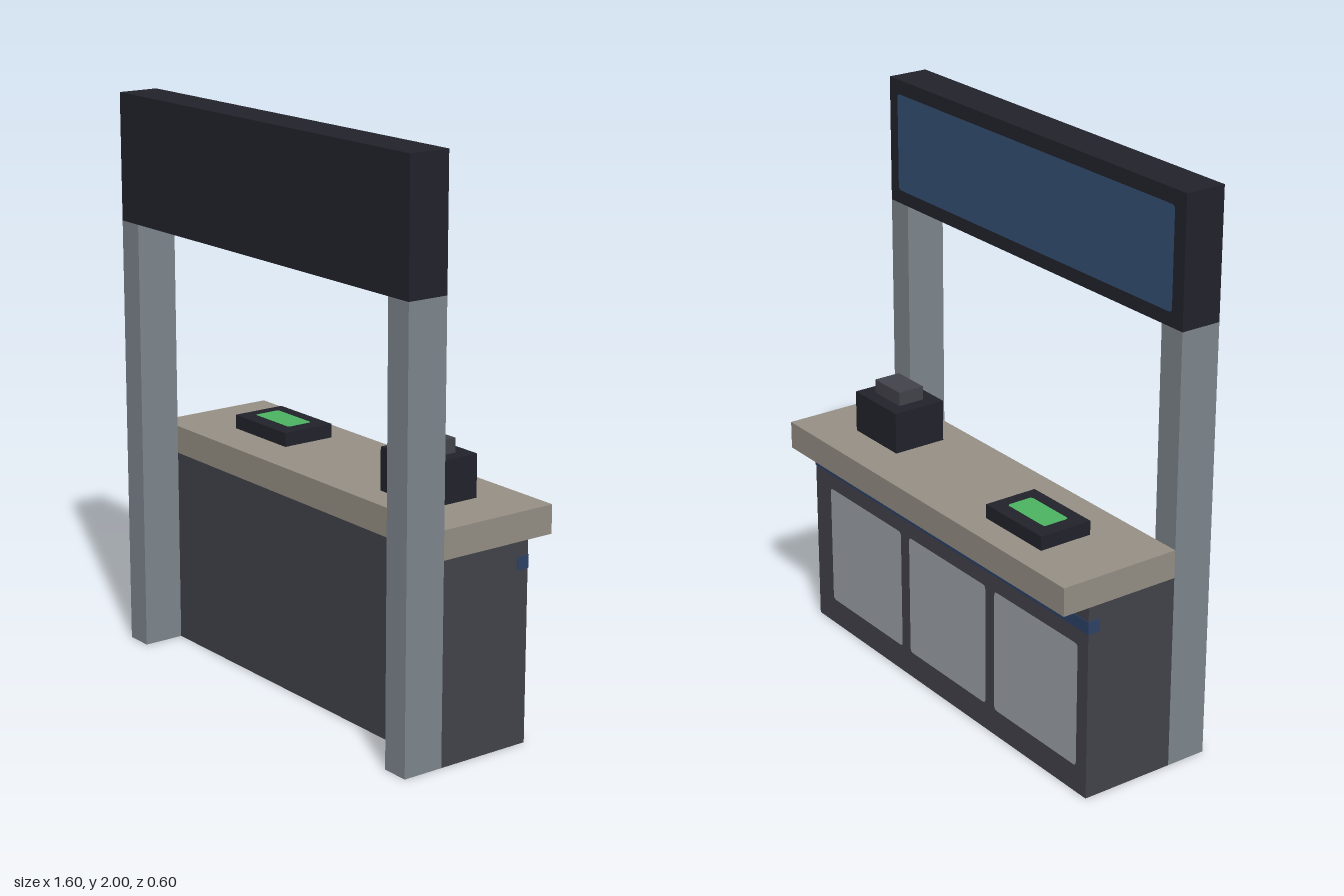
import * as THREE from 'three';

const mat = (name, color) => {
  const m = new THREE.MeshStandardMaterial({ color });
  m.name = name;
  return m;
};

export function createModel() {
  const charcoal = mat('charcoal', 0x22222c);
  const grey = mat('dark grey', 0x42424b);
  const steel = mat('steel', 0x7e868d);
  const stone = mat('stone', 0x969085);
  const silver = mat('pale silver', 0x9ea3ab);
  const blue = mat('sign blue', 0x345076);
  const navy = mat('trim navy', 0x2d4267);
  const green = mat('screen green', 0x4cb563);

  const model = new THREE.Group();
  model.name = 'serviceCounter';

  const add = (name, geometry, material) => {
    const mesh = new THREE.Mesh(geometry, material);
    mesh.name = name;
    model.add(mesh);
    return mesh;
  };

  // Box given by its lower and upper corners
  const box = (name, material, [x0, y0, z0], [x1, y1, z1]) =>
    add(name, new THREE.BoxGeometry(x1 - x0, y1 - y0, z1 - z0), material)
      .position.set((x0 + x1) / 2, (y0 + y1) / 2, (z0 + z1) / 2);

  // Thin face with small rounded corners, facing +z until turned
  const plate = (name, material, w, h, r = 0.015) => {
    const a = w / 2, b = h / 2, s = new THREE.Shape();
    s.moveTo(-a + r, -b);
    s.lineTo(a - r, -b).quadraticCurveTo(a, -b, a, -b + r);
    s.lineTo(a, b - r).quadraticCurveTo(a, b, a - r, b);
    s.lineTo(-a + r, b).quadraticCurveTo(-a, b, -a, b - r);
    s.lineTo(-a, -b + r).quadraticCurveTo(-a, -b, -a + r, -b);
    return add(name, new THREE.ShapeGeometry(s, 3), material);
  };

  // Counter
  box('counterBody', grey, [-0.8, 0, -0.2], [0.8, 0.7, 0.15]);
  box('countertop', stone, [-0.8, 0.7, -0.3], [0.8, 0.8, 0.15]);

  // Posts and overhead sign
  for (const s of [-1, 1]) {
    box(s > 0 ? 'leftPost' : 'rightPost', steel,
      [s * 0.75 - 0.05, 0, 0.15], [s * 0.75 + 0.05, 1.55, 0.3]);
  }
  box('signBoard', charcoal, [-0.8, 1.55, 0.15], [0.8, 2, 0.3]);
  const sign = plate('signPanel', blue, 1.5, 0.35);
  sign.rotation.y = Math.PI;
  sign.position.set(0, 1.775, 0.147);

  // Cupboard doors on the staff side
  for (let i = 0; i < 3; i++) {
    const door = plate('door' + (i + 1), silver, 0.45, 0.45);
    door.rotation.y = Math.PI;
    door.position.set(0.475 - i * 0.5, 0.325, -0.203);
  }

  // Trim stripe below the countertop, wrapping a little round both ends
  box('trimStripe', navy, [-0.802, 0.605, -0.202], [0.802, 0.65, -0.155]);

  // Card terminal with screen
  box('terminal', charcoal, [-0.55, 0.8, -0.2], [-0.25, 0.85, 0]);
  const screen = plate('terminalScreen', green, 0.2, 0.1, 0.012);
  screen.rotation.x = -Math.PI / 2;
  screen.position.set(-0.4, 0.853, -0.1);

  // Small printer
  box('printerBody', charcoal, [0.35, 0.8, -0.15], [0.6, 0.95, 0.05]);
  box('printerTop', grey, [0.4, 0.95, -0.1], [0.55, 1, 0]);

  return model;
}
